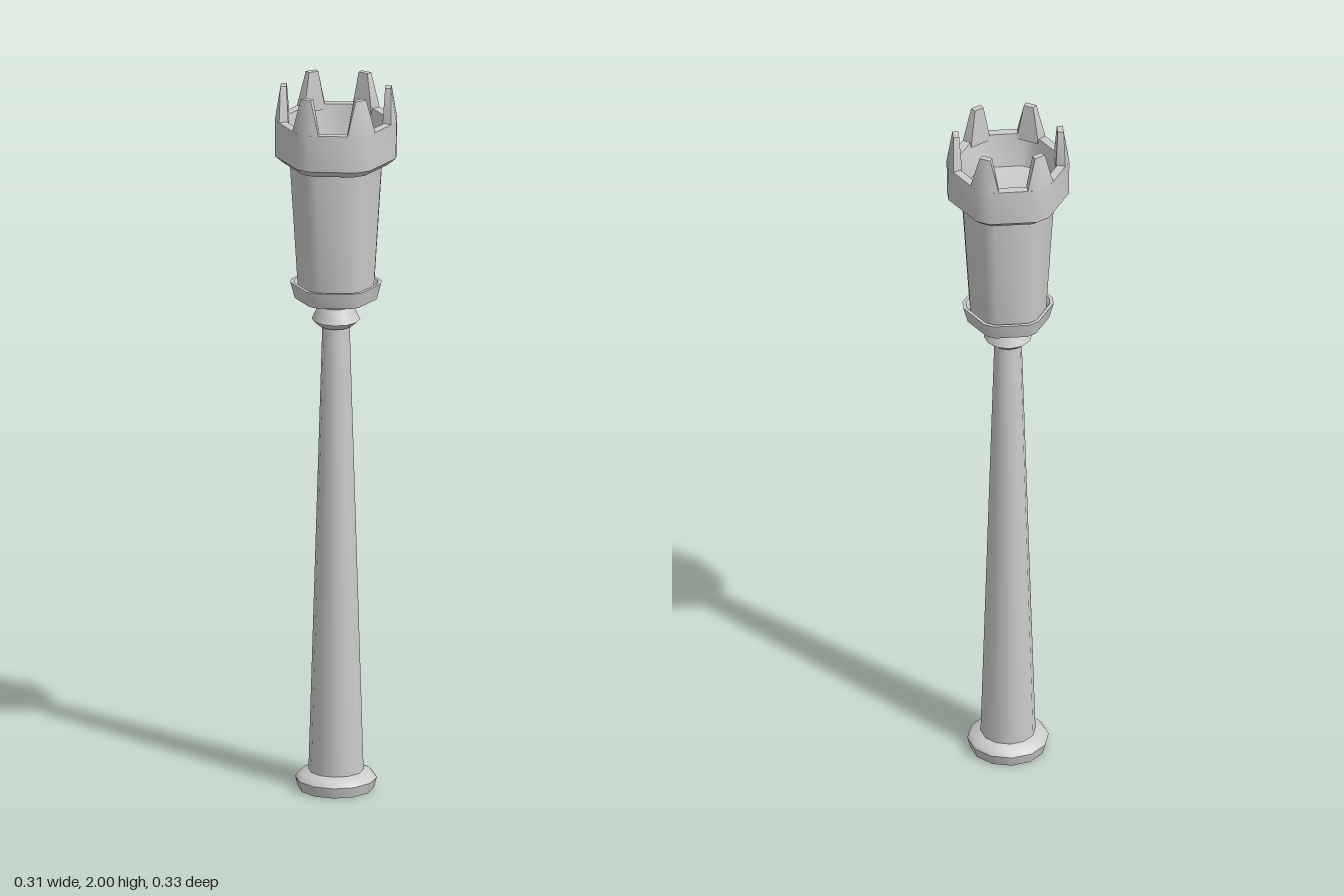
import * as THREE from 'three';
import { toCreasedNormals } from 'three/addons/utils/BufferGeometryUtils.js';
import { ConvexGeometry } from 'three/addons/geometries/ConvexGeometry.js';

const material = new THREE.MeshStandardMaterial({ color: 0xcccccc, side: THREE.DoubleSide });
const toPoints = (profile) => profile.map(([r, y]) => new THREE.Vector2(r, y));

function addMesh(parent, name, geometry, crease = 0.65) {
  const mesh = new THREE.Mesh(toCreasedNormals(geometry, crease), material);
  mesh.name = name;
  parent.add(mesh);
  return mesh;
}

// Round turned part
function turned(profile) {
  return new THREE.LatheGeometry(toPoints(profile), 12);
}

// Hexagonal part with chamfered corners; profile is [distance to flat side, y]
function hexTurned(profile) {
  const geometry = new THREE.LatheGeometry(toPoints(profile), 12, Math.PI / 12);
  const pos = geometry.attributes.position;
  const rows = profile.length;
  for (let i = 0; i < pos.count; i++) {
    const step = Math.floor(i / rows) % 12;
    const [apothem, y] = profile[i % rows];
    // even steps lie just after a corner, odd steps just before the next
    const degrees = step % 2 === 0 ? step * 30 + 7 : (step + 1) * 30 - 7;
    const a = THREE.MathUtils.degToRad(degrees);
    const r = apothem * 1.087;
    pos.setXYZ(i, r * Math.sin(a), y, r * Math.cos(a));
  }
  return geometry;
}

// One tapered crown point, standing at the +z corner
function spikeGeometry() {
  const half = [
    [0.042, 1.905, 0.152], [0.02, 1.905, 0.165], [0.03, 1.905, 0.128],
    [0.042, 1.89, 0.152], [0.02, 1.89, 0.165], [0.03, 1.89, 0.128],
    [0.016, 2.0, 0.15], [0.014, 2.0, 0.134],
  ];
  const points = half.flatMap(([x, y, z]) => [
    new THREE.Vector3(x, y, z), new THREE.Vector3(-x, y, z),
  ]);
  return new ConvexGeometry(points);
}

export function createModel() {
  const model = new THREE.Group();
  model.name = 'torchPost';

  // Foot ring, hollow underneath
  addMesh(model, 'foot', turned([
    [0, 0.05], [0.074, 0.04], [0.103, 0], [0.111, 0.03], [0.1, 0.043], [0.073, 0.052],
  ]));

  // Tapering pole
  addMesh(model, 'pole', turned([[0.075, 0.045], [0.037, 1.325]]));

  // Flared collar between pole and holder
  addMesh(model, 'collar', turned([
    [0.03, 1.318], [0.045, 1.318], [0.066, 1.336], [0.047, 1.375], [0.054, 1.39],
  ]));

  // Shallow cup under the holder
  addMesh(model, 'cup', hexTurned([
    [0, 1.38], [0.05, 1.38], [0.103, 1.397], [0.114, 1.442], [0.105, 1.442], [0.094, 1.425],
  ]));

  // Holder widening upward
  addMesh(model, 'holder', hexTurned([[0.095, 1.42], [0.116, 1.79]]));

  // Crown ring with its hollow inside
  addMesh(model, 'crownRing', hexTurned([
    [0.114, 1.782], [0.13, 1.782], [0.152, 1.802], [0.153, 1.905],
    [0.13, 1.905], [0.114, 1.81], [0, 1.8],
  ]));

  // Six crown points, one on each corner
  const spikes = new THREE.Group();
  spikes.name = 'crownSpikes';
  for (let i = 0; i < 6; i++) {
    addMesh(spikes, 'crownSpike', spikeGeometry()).rotation.y = (i * Math.PI) / 3;
  }
  model.add(spikes);

  return model;
}
